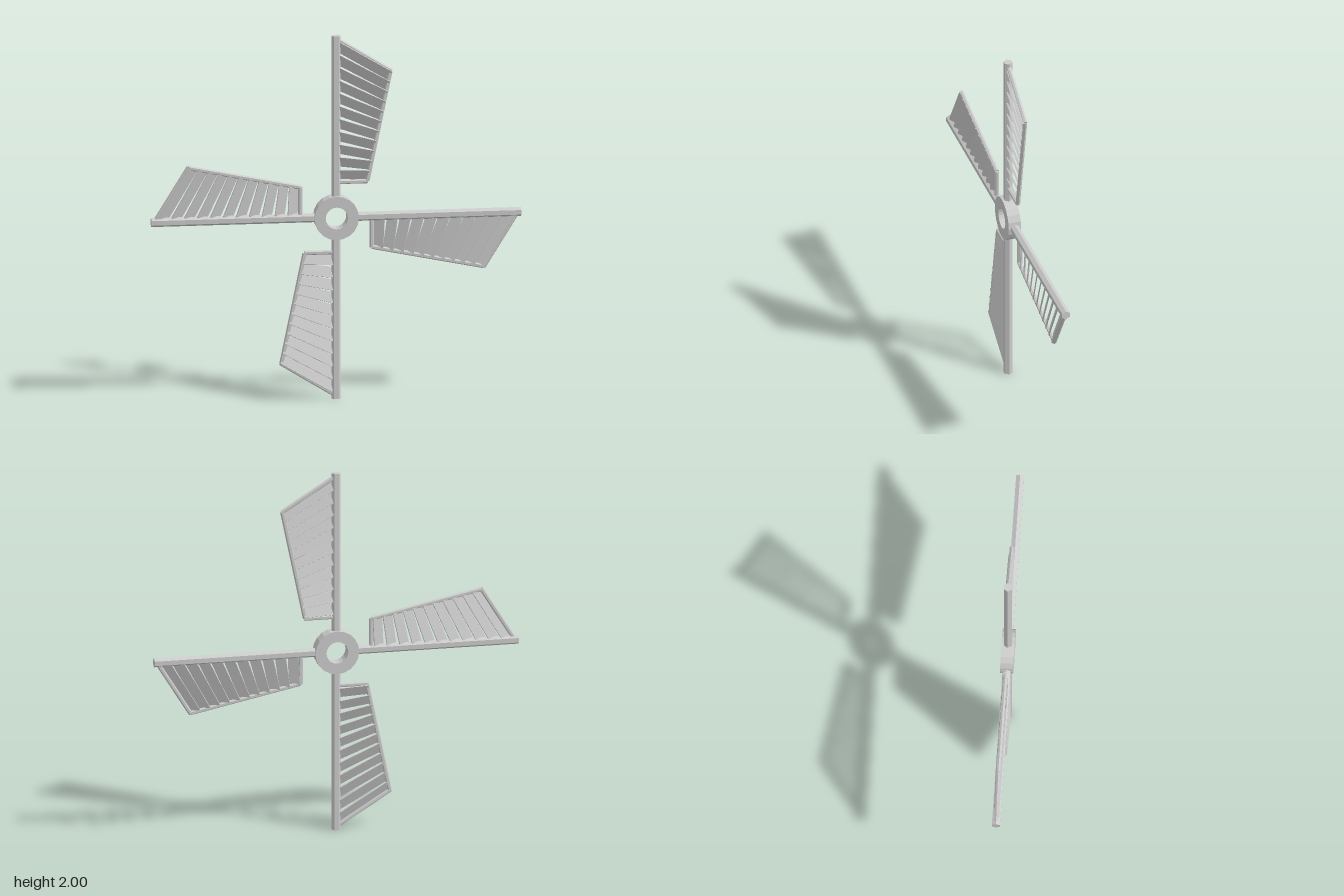
import * as THREE from 'three';

const material = new THREE.MeshStandardMaterial({ color: 0xcccccc, flatShading: true });
const lerp = THREE.MathUtils.lerp;

function add(parent, name, geometry) {
  const mesh = new THREE.Mesh(geometry, material);
  mesh.name = name;
  parent.add(mesh);
  return mesh;
}

// Six-sided bar between two points of the sail plane
function bar(parent, name, a, b, radius) {
  const dx = b[0] - a[0], dy = b[1] - a[1];
  const geometry = new THREE.CylinderGeometry(radius, radius, Math.hypot(dx, dy), 6);
  geometry.rotateY(Math.PI / 2); // corners point sideways in the sail plane
  const mesh = add(parent, name, geometry);
  mesh.position.set((a[0] + b[0]) / 2, (a[1] + b[1]) / 2, 0);
  mesh.rotation.z = Math.atan2(-dx, dy);
}

// Louvre slat between two points, tilted about its own length
function slat(parent, a, b) {
  const dx = b[0] - a[0], dy = b[1] - a[1];
  const mesh = add(parent, 'slat', new THREE.BoxGeometry(Math.hypot(dx, dy), 0.06, 0.006));
  mesh.position.set((a[0] + b[0]) / 2, (a[1] + b[1]) / 2, 0);
  mesh.rotation.set(THREE.MathUtils.degToRad(25), 0, Math.atan2(dy, dx), 'ZXY');
}

// One sail pointing up from the hub centre
function makeSail() {
  const sail = new THREE.Group();
  sail.name = 'sail';
  const inner = [0.17, 0.195], outer = [0.295, 0.8];
  bar(sail, 'spar', [0, 0.09], [0, 1], 0.025);
  bar(sail, 'innerRail', [0.005, 0.193], [0.172, 0.193], 0.012);
  bar(sail, 'sideRail', inner, outer, 0.012);
  bar(sail, 'tipRail', [0.005, 0.98], [0.3, 0.797], 0.012);

  // Slats fan from level near the hub to the slope of the tip rail
  const count = 11;
  for (let i = 0; i < count; i++) {
    const t = (i + 0.5) / count;
    slat(sail, [0.01, lerp(0.2, 0.975, t)],
      [lerp(inner[0], outer[0], t), lerp(0.2, outer[1], t)]);
  }
  return sail;
}

export function createModel() {
  const model = new THREE.Group();
  model.name = 'windmillSails';
  const wheel = new THREE.Group();
  wheel.name = 'wheel';
  wheel.position.y = 1;
  wheel.rotation.y = -Math.PI / 6;
  model.add(wheel);

  // Hub ring with an open bore
  const profile = [[0.06, -0.035], [0.12, -0.035], [0.12, 0.035], [0.06, 0.035], [0.06, -0.035]]
    .map(([r, y]) => new THREE.Vector2(r, y));
  const hub = add(wheel, 'hub', new THREE.LatheGeometry(profile, 20));
  hub.rotation.x = Math.PI / 2;

  // Four sails around the hub
  for (let i = 0; i < 4; i++) {
    const sail = makeSail();
    sail.rotation.z = -i * Math.PI / 2;
    wheel.add(sail);
  }
  return model;
}
